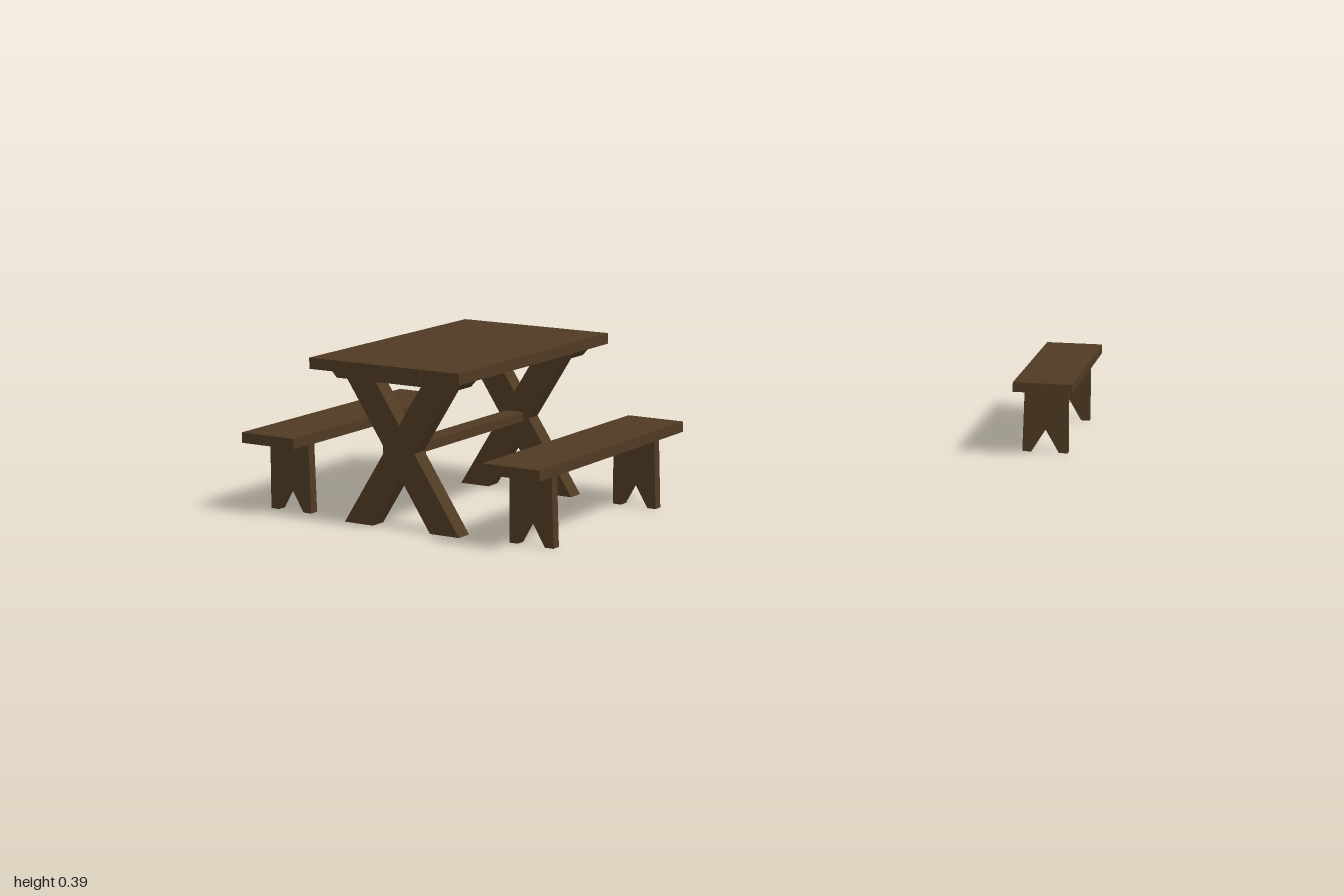
import * as THREE from 'three';

const wood = new THREE.MeshStandardMaterial({ color: 0x503b24 });

function addMesh(parent, geometry, name, x, y, z) {
  const mesh = new THREE.Mesh(geometry, wood);
  mesh.name = name;
  mesh.position.set(x, y, z);
  parent.add(mesh);
  return mesh;
}

// Flat outline in x/y, extruded symmetrically along z
function board(points, depth) {
  const shape = new THREE.Shape(points.map(([x, y]) => new THREE.Vector2(x, y)));
  const geometry = new THREE.ExtrudeGeometry(shape, { depth, bevelEnabled: false });
  return geometry.translate(0, 0, -depth / 2);
}

// Row of long planks laid side by side
function addPlanks(parent, name, count, width, length, top, thickness) {
  const step = width / count;
  for (let i = 0; i < count; i++) {
    addMesh(parent, new THREE.BoxGeometry(step - 0.0008, thickness, length), name,
      (i + 0.5) * step - width / 2, top - thickness / 2, 0);
  }
}

function createTable() {
  const table = new THREE.Group();
  table.name = 'table';
  addPlanks(table, 'tablePlank', 4, 0.415, 0.622, 0.39, 0.026);

  // Crossed legs as one half-lapped outline
  const h = 0.364, o = 0.16, i = 0.08;
  const cross = [
    [-o, 0], [-i, 0], [0, h / 3], [i, 0], [o, 0], [(o - i) / 2, h / 2],
    [o, h], [i, h], [0, h * 2 / 3], [-i, h], [-o, h], [(i - o) / 2, h / 2],
  ];
  // Cleat with slanted ends
  const cleat = [[-0.165, 0.34], [0.165, 0.34], [0.188, 0.364], [-0.188, 0.364]];

  for (const z of [-0.235, 0.235]) {
    addMesh(table, board(cross, 0.04), 'crossedLegs', 0, 0, z);
    addMesh(table, board(cleat, 0.06), 'cleat', 0, 0, z);
  }
  addMesh(table, new THREE.BoxGeometry(0.05, 0.022, 0.47), 'stretcher', 0, 0.184, 0);
  return table;
}

function createBench() {
  const bench = new THREE.Group();
  bench.name = 'bench';
  addPlanks(bench, 'seatPlank', 2, 0.152, 0.622, 0.195, 0.025);

  // Leg board with a V notch between its feet
  const leg = [
    [-0.059, 0], [-0.036, 0], [0, 0.06], [0.036, 0], [0.059, 0],
    [0.056, 0.17], [-0.056, 0.17],
  ];
  for (const z of [-0.221, 0.221]) addMesh(bench, board(leg, 0.022), 'benchLeg', 0, 0, z);
  return bench;
}

export function createModel() {
  const model = new THREE.Group();
  model.name = 'picnicSet';

  const place = (part, x, z, turn) => {
    part.position.set(x, 0, z);
    part.rotation.y = turn;
    model.add(part);
  };
  place(createTable(), -0.39, 0.618, -0.178);
  place(createBench(), -0.72, 0.557, -0.178);
  place(createBench(), -0.055, 0.679, -0.178);
  place(createBench(), 0.745, -0.685, 0.08);
  return model;
}
